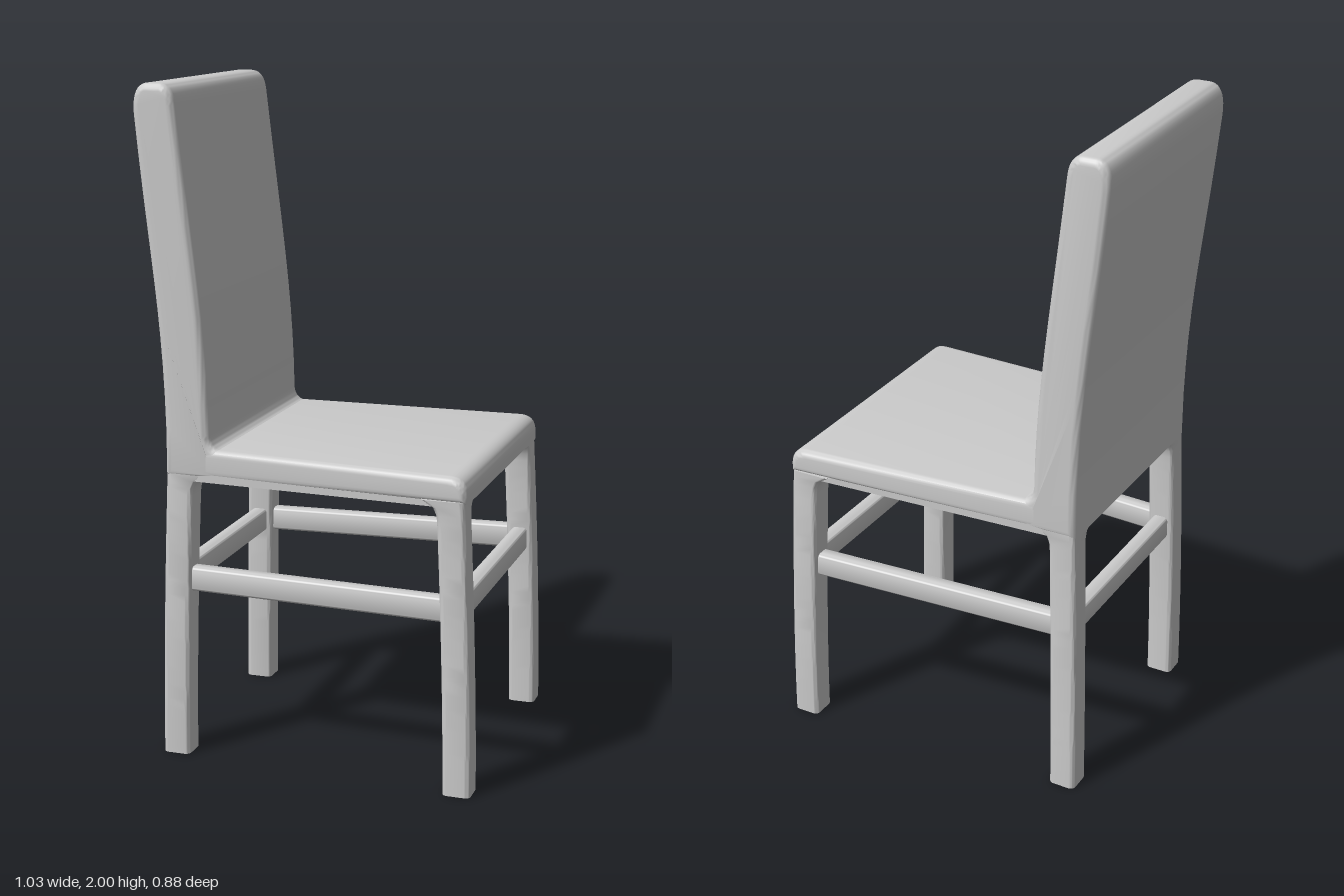
import * as THREE from 'three';
import { toCreasedNormals } from 'three/addons/utils/BufferGeometryUtils.js';

const material = new THREE.MeshStandardMaterial({ color: 0xcccccc });

// Half width of the seat, which widens towards the front edge (+x)
const halfWidth = (x) => 0.38 + Math.max(0, x + 0.3) * 0.065;

function addMesh(parent, name, geometry) {
  const mesh = new THREE.Mesh(toCreasedNormals(geometry, 0.7), material);
  mesh.name = name;
  parent.add(mesh);
  return mesh;
}

// Moves every vertex of a geometry by a rule
function deform(geometry, rule) {
  const p = geometry.attributes.position;
  const v = new THREE.Vector3();
  for (let i = 0; i < p.count; i++) {
    rule(v.fromBufferAttribute(p, i));
    p.setXYZ(i, v.x, v.y, v.z);
  }
  return geometry;
}

// Side profile extruded across the chair with soft edges, then widened to the front
function cushion(shape) {
  const b = 0.022;
  const g = new THREE.ExtrudeGeometry(shape, {
    depth: 0.76 - 2 * b, bevelThickness: b, bevelSize: b, bevelOffset: -b,
    bevelSegments: 5, curveSegments: 10,
  });
  g.translate(0, 0, -0.38 + b);
  return deform(g, (v) => { v.z *= halfWidth(v.x) / 0.38; });
}

function roundedRect(w, h, r) {
  const x = w / 2, y = h / 2, q = Math.PI / 2;
  const s = new THREE.Shape();
  s.absarc(x - r, y - r, r, 0, q);
  s.absarc(-x + r, y - r, r, q, 2 * q);
  s.absarc(-x + r, -y + r, r, 2 * q, 3 * q);
  s.absarc(x - r, -y + r, r, 3 * q, 4 * q);
  return s;
}

// Post that stands vertically at the foot, bends to the top and flares inwards under the seat
function legGeometry(bottom, top, inX) {
  const height = 0.87;
  const g = new THREE.ExtrudeGeometry(roundedRect(0.084, 0.084, 0.016), {
    depth: height, steps: 40, bevelEnabled: false, curveSegments: 4,
  });
  g.rotateX(-Math.PI / 2);
  return deform(g, (v) => {
    v.y = THREE.MathUtils.clamp(v.y, 0, height);
    const t = Math.pow(v.y / height, 1.6);
    const f = THREE.MathUtils.clamp((v.y - 0.81) / 0.06, 0, 1);
    const flare = 0.045 * (1 - Math.sqrt(1 - f * f));
    if (v.x * inX > 0) v.x += inX * flare;
    if (v.z < 0) v.z -= flare;
    v.x += bottom[0] + (top[0] - bottom[0]) * t;
    v.z += bottom[1] + (top[1] - bottom[1]) * t;
  });
}

// Mirrors a geometry across z = 0, swapping two corners so faces stay outward
function mirrorZ(geometry) {
  const g = geometry.clone().scale(1, 1, -1);
  const p = g.attributes.position;
  const a = new THREE.Vector3(), b = new THREE.Vector3();
  for (let i = 0; i < p.count; i += 3) {
    a.fromBufferAttribute(p, i);
    b.fromBufferAttribute(p, i + 1);
    p.setXYZ(i, b.x, b.y, b.z);
    p.setXYZ(i + 1, a.x, a.y, a.z);
  }
  return g;
}

// Rail between two points at stretcher height
function addStretcher(parent, name, a, b) {
  const from = new THREE.Vector3(a[0], 0.547, a[1]);
  const to = new THREE.Vector3(b[0], 0.547, b[1]);
  const g = new THREE.ExtrudeGeometry(roundedRect(0.05, 0.075, 0.014), {
    depth: from.distanceTo(to), bevelEnabled: false, curveSegments: 4,
  });
  const mesh = addMesh(parent, name, g);
  mesh.position.copy(from);
  mesh.lookAt(to);
}

// Outline of the tapered seat in plan, inset by d
function plan(path, d) {
  const x0 = -0.435 + d, x1 = 0.48 - d;
  const z0 = halfWidth(x0) - d, z1 = halfWidth(x1) - d;
  path.moveTo(x0, -z0);
  path.lineTo(x1, -z1);
  path.lineTo(x1, z1);
  path.lineTo(x0, z0);
  path.closePath();
  return path;
}

export function createModel() {
  const chair = new THREE.Group();
  chair.name = 'chair';

  // Backrest, leaning back, with a fillet where it meets the seat
  const back = new THREE.Shape();
  back.moveTo(-0.438, 0.858);
  back.lineTo(-0.27, 0.858);
  back.lineTo(-0.255, 0.944);
  back.quadraticCurveTo(-0.299, 0.946, -0.301, 0.99);
  back.bezierCurveTo(-0.305, 1.3, -0.34, 1.5, -0.39, 1.94);
  back.bezierCurveTo(-0.395, 1.98, -0.41, 2, -0.44, 2);
  back.lineTo(-0.475, 2);
  back.bezierCurveTo(-0.505, 2, -0.523, 1.97, -0.518, 1.91);
  back.bezierCurveTo(-0.48, 1.5, -0.445, 1.35, -0.438, 1.0);
  back.closePath();
  addMesh(chair, 'backrest', cushion(back));

  // Seat with a rounded front edge
  const seat = new THREE.Shape();
  seat.moveTo(-0.34, 0.862);
  seat.lineTo(0.49, 0.862);
  seat.lineTo(0.49, 0.885);
  seat.bezierCurveTo(0.49, 0.92, 0.475, 0.94, 0.435, 0.94);
  seat.lineTo(-0.34, 0.948);
  seat.closePath();
  addMesh(chair, 'seat', cushion(seat));

  // Shallow rim around the underside of the seat
  const rim = plan(new THREE.Shape(), 0.008);
  rim.holes.push(plan(new THREE.Path(), 0.075));
  const rimGeometry = new THREE.ExtrudeGeometry(rim, { depth: 0.03, bevelEnabled: false });
  rimGeometry.rotateX(-Math.PI / 2).translate(0, 0.85, 0);
  addMesh(chair, 'seatRim', rimGeometry);

  // Legs: foot position, top position and inward direction along x
  const legs = {
    FrontLeg: [[0.472, 0.398], [0.442, 0.388], -1],
    RearLeg: [[-0.414, 0.349], [-0.394, 0.335], 1],
  };
  for (const [name, args] of Object.entries(legs)) {
    const g = legGeometry(...args);
    addMesh(chair, 'right' + name, g);
    addMesh(chair, 'left' + name, mirrorZ(g));
  }

  // Four stretchers joining the legs
  const front = 0.457, rear = -0.404, fz = 0.393, rz = 0.342;
  addStretcher(chair, 'frontStretcher', [front, -fz], [front, fz]);
  addStretcher(chair, 'rearStretcher', [rear, -rz], [rear, rz]);
  addStretcher(chair, 'rightStretcher', [rear, rz], [front, fz]);
  addStretcher(chair, 'leftStretcher', [rear, -rz], [front, -fz]);

  return chair;
}
